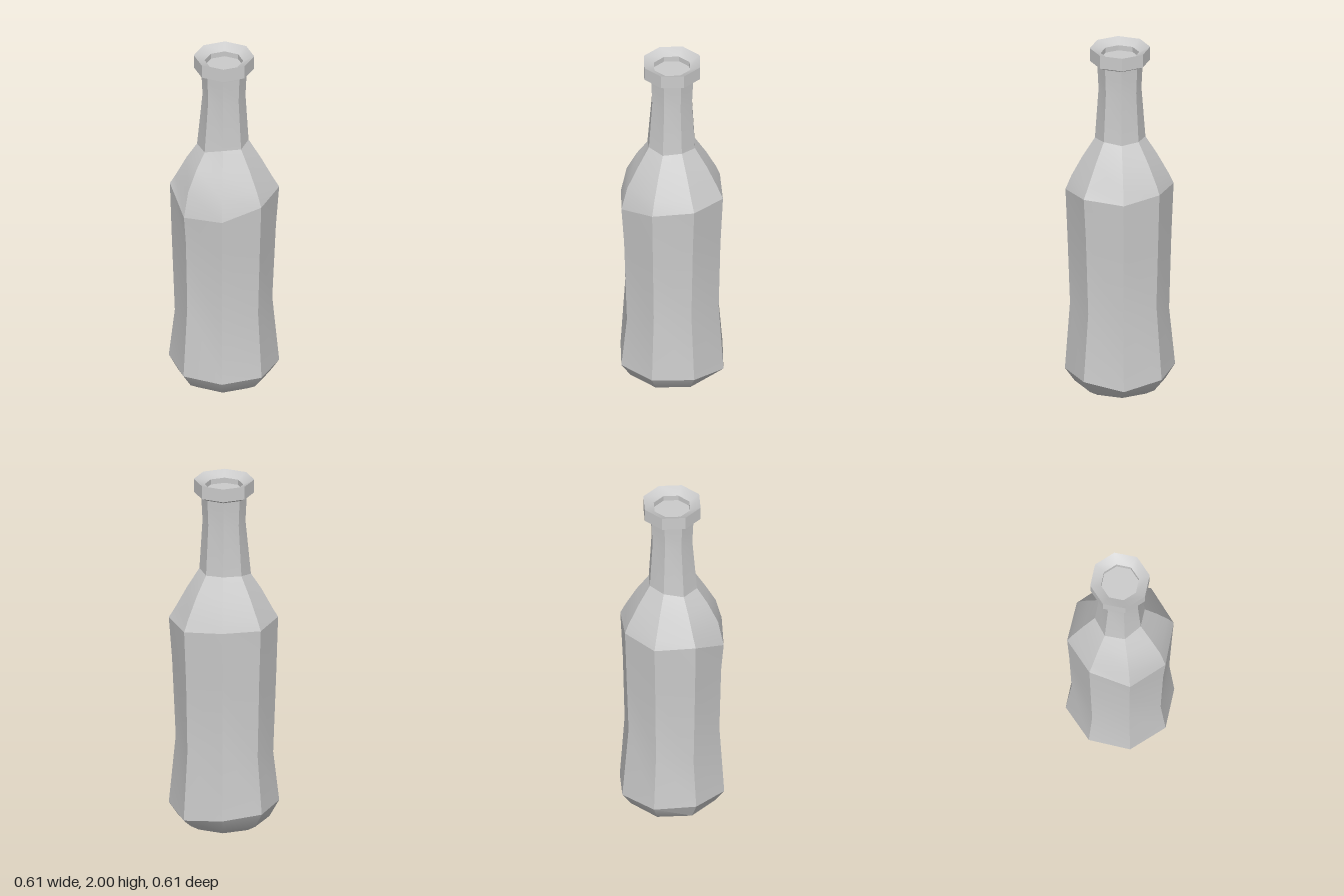
import * as THREE from 'three';
import { toCreasedNormals } from 'three/addons/utils/BufferGeometryUtils.js';

const SIDES = 8;

// Skin stacked octagonal rings, bottom to top. r and y are either one number
// or a list of eight values, starting at +x and turning towards +z.
function loft(name, rings, material) {
  const at = (v, j) => (Array.isArray(v) ? v[j % SIDES] : v);
  const positions = [];
  const index = [];
  for (const [r, y] of rings) {
    for (let j = 0; j < SIDES; j++) {
      const a = (j / SIDES) * Math.PI * 2;
      positions.push(at(r, j) * Math.cos(a), at(y, j), at(r, j) * Math.sin(a));
    }
  }
  for (let i = 0; i < rings.length - 1; i++) {
    for (let j = 0; j < SIDES; j++) {
      const k = (j + 1) % SIDES;
      const a = i * SIDES + j, b = i * SIDES + k;
      const c = a + SIDES, d = b + SIDES;
      // rings of radius 0 close the form with a fan
      if (rings[i][0] !== 0) index.push(a, d, b);
      if (rings[i + 1][0] !== 0) index.push(a, c, d);
    }
  }
  const geometry = new THREE.BufferGeometry();
  geometry.setAttribute('position', new THREE.Float32BufferAttribute(positions, 3));
  geometry.setIndex(index);
  const mesh = new THREE.Mesh(toCreasedNormals(geometry, 0.5), material);
  mesh.name = name;
  return mesh;
}

export function createModel() {
  const group = new THREE.Group();
  group.name = 'bottle';
  const material = new THREE.MeshStandardMaterial({ color: 0xcccccc });

  // Bevelled foot with a flat underside
  group.add(loft('foot', [
    [0, 0],
    [0.19, 0],
    [0.25, 0.035],
    [0.303, [0.11, 0.11, 0.11, 0.11, 0.13, 0.12, 0.11, 0.08]],
  ], material));

  // Waisted belly, with uneven hand-cut rings
  group.add(loft('belly', [
    [0.303, [0.11, 0.11, 0.11, 0.11, 0.13, 0.12, 0.11, 0.08]],
    [[0.265, 0.275, 0.27, 0.275, 0.27, 0.27, 0.265, 0.275],
      [0.50, 0.50, 0.40, 0.53, 0.41, 0.45, 0.54, 0.475]],
    [[0.285, 0.288, 0.287, 0.285, 0.287, 0.283, 0.278, 0.285],
      [0.95, 0.87, 0.9, 0.93, 0.88, 0.9, 0.92, 0.88]],
    [[0.303, 0.3, 0.303, 0.3, 0.297, 0.295, 0.287, 0.3],
      [1.19, 1.17, 1.12, 1.10, 1.20, 1.19, 1.20, 1.18]],
  ], material));

  // Sloping shoulder
  group.add(loft('shoulder', [
    [[0.303, 0.3, 0.303, 0.3, 0.297, 0.295, 0.287, 0.3],
      [1.19, 1.17, 1.12, 1.10, 1.20, 1.19, 1.20, 1.18]],
    [0.267, 1.25],
    [0.205, 1.365],
    [[0.135, 0.138, 0.138, 0.145, 0.148, 0.14, 0.135, 0.135],
      [1.48, 1.47, 1.48, 1.45, 1.45, 1.47, 1.475, 1.47]],
  ], material));

  // Neck
  group.add(loft('neck', [
    [[0.135, 0.138, 0.138, 0.145, 0.148, 0.14, 0.135, 0.135],
      [1.48, 1.47, 1.48, 1.45, 1.45, 1.47, 1.475, 1.47]],
    [0.118, 1.76],
    [0.125, 1.905],
  ], material));

  // Lip: flared collar, inward-sloping rim and a shallow closed mouth
  group.add(loft('lip', [
    [0.125, 1.905],
    [0.166, 1.925],
    [0.166, 2],
    [0.106, 1.97],
    [0.106, 1.94],
    [0, 1.94],
  ], material));

  return group;
}
